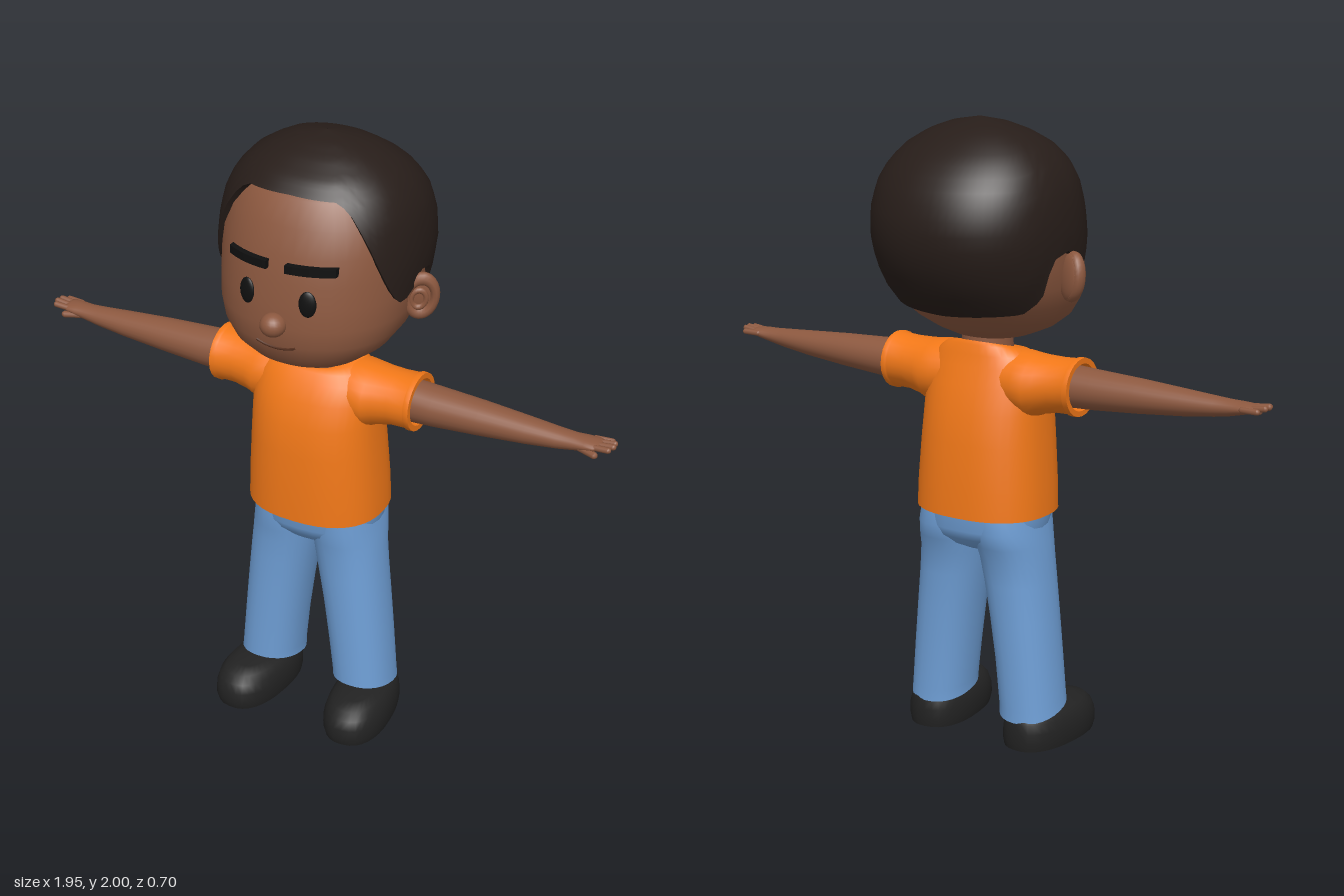
import * as THREE from 'three';

const mat = (color) => new THREE.MeshStandardMaterial({ color, side: THREE.DoubleSide });
const power = (v, n) => Math.sign(v) * Math.abs(v) ** (2 / n);

// Skin a list of closed rings (arrays of [x, y, z]) with smooth normals.
// Repeating a ring gives a sharp edge there.
function skinRings(rings) {
  const n = rings[0].length, index = [];
  for (let i = 0; i < rings.length - 1; i++) {
    for (let j = 0; j < n; j++) {
      const a = i * n + j, b = i * n + (j + 1) % n;
      index.push(a, b, b + n, a, b + n, a + n);
    }
  }
  const geo = new THREE.BufferGeometry();
  geo.setAttribute('position', new THREE.Float32BufferAttribute(rings.flat(2), 3));
  geo.setIndex(index);
  geo.computeVertexNormals();
  return geo;
}

const circle = (n, fn) => Array.from({ length: n }, (_, j) => fn((j / n) * Math.PI * 2));

// Upright section: [y, halfWidth, zFront, zBack, xCentre, frontRise]
function point([y, rx, zf, zb, xc = 0, rise = 0], a, n) {
  const c = power(Math.cos(a), n);
  return [xc + rx * power(Math.sin(a), n), y + rise * c, (zf + zb) / 2 + ((zf - zb) / 2) * c];
}
const loftY = (sections, n = 2, seg = 32) =>
  skinRings(sections.map((s) => circle(seg, (a) => point(s, a, n))));

// Sideways section: [x, yCentre, zCentre, halfHeight, halfDepth]
const loftX = (sections, seg = 24) =>
  skinRings(sections.map(([x, y, z, ry, rz]) =>
    circle(seg, (a) => [x, y - ry * Math.sin(a), z + rz * Math.cos(a)])));

// Linear lookup in a table sorted by its first column.
function sample(table, key) {
  let i = 1;
  while (i < table.length - 1 && table[i][0] < key) i++;
  const t = THREE.MathUtils.clamp((key - table[i - 1][0]) / (table[i][0] - table[i - 1][0]), 0, 1);
  return table[i].map((v, k) => THREE.MathUtils.lerp(table[i - 1][k], v, t));
}

function mirrored(geo) {
  const m = geo.clone().scale(-1, 1, 1), ix = m.index.array;
  for (let i = 0; i < ix.length; i += 3) [ix[i], ix[i + 1]] = [ix[i + 1], ix[i]];
  return m;
}

// Rounded rod between two points
function rod(from, to, r) {
  const a = new THREE.Vector3(...from), b = new THREE.Vector3(...to), d = b.clone().sub(a);
  const q = new THREE.Quaternion().setFromUnitVectors(new THREE.Vector3(0, 1, 0), d.clone().normalize());
  const mid = a.add(b).multiplyScalar(0.5);
  return new THREE.CapsuleGeometry(r, d.length(), 4, 8).applyQuaternion(q).translate(mid.x, mid.y, mid.z);
}

const HEAD_N = 2.2;
const HEAD = [
  [1.315, 0.001, 0.07, 0.068], [1.316, 0.08, 0.15, -0.03], [1.325, 0.125, 0.2, -0.06], [1.35, 0.185, 0.25, -0.11],
  [1.39, 0.24, 0.285, -0.17], [1.44, 0.275, 0.303, -0.225], [1.5, 0.294, 0.308, -0.275],
  [1.57, 0.302, 0.302, -0.31], [1.64, 0.303, 0.293, -0.325], [1.72, 0.3, 0.277, -0.32],
  [1.8, 0.28, 0.25, -0.29], [1.87, 0.24, 0.21, -0.24], [1.93, 0.16, 0.13, -0.16], [1.96, 0.001, 0, -0.002],
];
const HAIR = [
  [1.4, 0.25, 0.3, -0.2], [1.44, 0.28, 0.31, -0.245], [1.5, 0.3, 0.31, -0.295], [1.57, 0.313, 0.309, -0.332],
  [1.66, 0.321, 0.3, -0.353], [1.74, 0.316, 0.285, -0.345], [1.81, 0.302, 0.262, -0.318],
  [1.87, 0.272, 0.23, -0.275], [1.92, 0.225, 0.18, -0.215], [1.96, 0.16, 0.11, -0.15],
  [1.985, 0.09, 0.05, -0.09], [2, 0.001, -0.018, -0.02],
];
// Height of the hairline by angle from the front, in degrees
const HAIRLINE = [
  [0, 1.885], [30, 1.88], [38, 1.86], [48, 1.77], [58, 1.66], [68, 1.58], [77, 1.545], [84, 1.57],
  [90, 1.62], [102, 1.6], [111, 1.48], [126, 1.435], [180, 1.42],
];

// Depth of the face surface at x, y
function faceZ(x, y) {
  const [, rx, zf, zb] = sample(HEAD, y);
  return (zf + zb) / 2 + ((zf - zb) / 2) * (1 - Math.abs(x / rx) ** HEAD_N) ** (1 / HEAD_N);
}

function hairGeometry() {
  const rows = 16, seg = 72;
  const edge = (a) => sample(HAIRLINE, THREE.MathUtils.radToDeg(Math.min(a, Math.PI * 2 - a)))[1];
  const row = (t, shrink) => circle(seg, (a) => {
    const s = sample(HAIR, 2 - (2 - edge(a)) * t ** 1.6);
    const [x, y, z] = point(s, a, HEAD_N);
    return [x * shrink, y, z * shrink];
  });
  const rings = [row(1, 0.9), row(1, 1)];
  for (let i = 0; i <= rows; i++) rings.push(row(1 - i / rows, 1));
  return skinRings(rings);
}

export function createModel() {
  const model = new THREE.Group();
  const skin = mat(0x8c583f), hair = mat(0x271d19), black = mat(0x101010), lip = mat(0x55301f);
  const orange = mat(0xf27818), denim = mat(0x6f9fd6), leather = mat(0x222222);
  const add = (name, geo, material) => {
    const mesh = new THREE.Mesh(geo, material);
    mesh.name = name;
    model.add(mesh);
  };
  const pair = (name, geo, material) => {
    add('left' + name, geo, material);
    add('right' + name, mirrored(geo), material);
  };

  // Head, hair and neck
  add('head', loftY(HEAD, HEAD_N, 48), skin);
  add('hair', hairGeometry(), hair);
  add('neck', new THREE.CylinderGeometry(0.078, 0.085, 0.16, 24).translate(0, 1.29, 0.022), skin);

  // Face
  add('nose', new THREE.SphereGeometry(0.04, 20, 14).scale(1, 0.92, 1).translate(0, 1.51, 0.314), skin);
  pair('Eye', new THREE.SphereGeometry(1, 20, 14).scale(0.027, 0.041, 0.01).rotateX(-0.05).rotateY(0.22)
    .translate(0.1, 1.588, faceZ(0.1, 1.588)), black);
  const brow = new THREE.BoxGeometry(0.145, 0.026, 0.022, 10, 1, 1).translate(0.103, 1.69, 0.006);
  const p = brow.attributes.position;
  for (let i = 0; i < p.count; i++) p.setZ(i, p.getZ(i) + faceZ(p.getX(i), 1.69));
  brow.computeVertexNormals();
  pair('Eyebrow', brow, black);
  const smile = [-0.065, -0.035, 0, 0.035, 0.065].map((x) => {
    const y = 1.427 + 3 * x * x;
    return new THREE.Vector3(x, y, faceZ(x, y));
  });
  add('mouth', new THREE.TubeGeometry(new THREE.CatmullRomCurve3(smile), 20, 0.004, 6), lip);

  // Ears: cupped disc with a raised rim
  const placeEar = (g) => g.rotateY(0.5).rotateZ(-0.12).translate(0.322, 1.54, -0.005);
  pair('Ear', placeEar(new THREE.SphereGeometry(1, 20, 14).scale(0.05, 0.072, 0.02).translate(0, 0, -0.01)), skin);
  pair('EarRim', placeEar(new THREE.TorusGeometry(0.042, 0.015, 10, 28).scale(1, 1.38, 1.3)), skin);
  pair('EarFold', placeEar(new THREE.TorusGeometry(0.022, 0.008, 8, 20).scale(1, 1.3, 1).translate(-0.006, -0.008, 0.008)), skin);

  // Shirt
  add('shirt', loftY([
    [0.785, 0.2, 0.19, -0.145], [0.766, 0.215, 0.2, -0.155], [0.766, 0.224, 0.21, -0.163], [0.766, 0.224, 0.21, -0.163],
    [0.86, 0.22, 0.212, -0.161], [1, 0.211, 0.209, -0.15], [1.1, 0.206, 0.199, -0.133], [1.18, 0.203, 0.177, -0.11],
    [1.235, 0.19, 0.148, -0.09], [1.268, 0.165, 0.125, -0.078, 0, -0.005], [1.288, 0.13, 0.112, -0.07, 0, -0.015],
    [1.292, 0.1, 0.106, -0.062, 0, -0.022], [1.292, 0.1, 0.106, -0.062, 0, -0.022], [1.27, 0.08, 0.09, -0.05, 0, -0.022],
  ], 2.4, 40), orange);
  pair('Sleeve', loftX([
    [0.08, 1.195, 0.02, 0.09, 0.1], [0.15, 1.187, 0.02, 0.1, 0.112], [0.19, 1.182, 0.02, 0.1, 0.11],
    [0.22, 1.188, 0.021, 0.092, 0.101], [0.27, 1.193, 0.022, 0.086, 0.093], [0.325, 1.195, 0.022, 0.087, 0.092],
    [0.328, 1.195, 0.022, 0.092, 0.096], [0.345, 1.195, 0.022, 0.091, 0.095], [0.345, 1.195, 0.022, 0.091, 0.095],
    [0.345, 1.195, 0.022, 0.074, 0.077], [0.345, 1.195, 0.022, 0.074, 0.077], [0.3, 1.195, 0.022, 0.07, 0.07],
  ]), orange);

  // Arms and hands
  pair('Arm', loftX([
    [0.28, 1.196, 0.022, 0.068, 0.07], [0.4, 1.195, 0.022, 0.062, 0.067], [0.55, 1.197, 0.023, 0.053, 0.058],
    [0.7, 1.199, 0.025, 0.041, 0.047], [0.8, 1.202, 0.027, 0.031, 0.038], [0.85, 1.205, 0.027, 0.025, 0.034],
    [0.885, 1.209, 0.026, 0.02, 0.037], [0.915, 1.212, 0.025, 0.015, 0.037], [0.93, 1.214, 0.024, 0.009, 0.03],
    [0.934, 1.214, 0.024, 0.0005, 0.0005],
  ]), skin);
  [[-0.006, 0.95, 1.213], [0.012, 0.965, 1.22], [0.031, 0.968, 1.221], [0.048, 0.96, 1.218]].forEach(([z, x, y], i) =>
    pair('Finger' + (i + 1), rod([0.9, 1.212, z], [x, y, z + (z - 0.02) * 0.15], 0.0095), skin));
  pair('Thumb', rod([0.87, 1.2, 0.048], [0.922, 1.196, 0.062], 0.011), skin);

  // Trousers
  add('trouserSeat', loftY([
    [0.635, 0.001, 0.04, 0.038], [0.64, 0.06, 0.09, -0.06], [0.66, 0.13, 0.135, -0.1], [0.69, 0.19, 0.163, -0.132],
    [0.72, 0.208, 0.178, -0.147], [0.79, 0.212, 0.188, -0.15],
  ], 2.3), denim);
  pair('TrouserLeg', loftY([
    [0.16, 0.08, 0.12, -0.06, 0.17, 0.02], [0.115, 0.092, 0.137, -0.078, 0.171, 0.024],
    [0.115, 0.1, 0.146, -0.086, 0.171, 0.024], [0.115, 0.1, 0.146, -0.086, 0.171, 0.024],
    [0.145, 0.099, 0.146, -0.085, 0.169, 0.015], [0.28, 0.101, 0.146, -0.086, 0.156], [0.42, 0.104, 0.147, -0.09, 0.14],
    [0.54, 0.108, 0.149, -0.095, 0.124], [0.62, 0.11, 0.153, -0.105, 0.113], [0.67, 0.11, 0.16, -0.125, 0.107],
    [0.72, 0.106, 0.168, -0.14, 0.103], [0.78, 0.1, 0.17, -0.135, 0.1],
  ], 2.2, 28), denim);

  // Shoes, toes turned slightly out
  pair('Shoe', loftY([
    [0, 0.001, 0.09, 0.088], [0, 0.1, 0.275, -0.087], [0, 0.1, 0.275, -0.087], [0.025, 0.105, 0.283, -0.091],
    [0.06, 0.104, 0.28, -0.09], [0.09, 0.096, 0.268, -0.086], [0.112, 0.08, 0.245, -0.078],
    [0.123, 0.055, 0.2, -0.06], [0.127, 0.001, 0.09, 0.088],
  ], 2.4).rotateY(0.1).translate(0.183, 0, 0), leather);

  return model;
}
